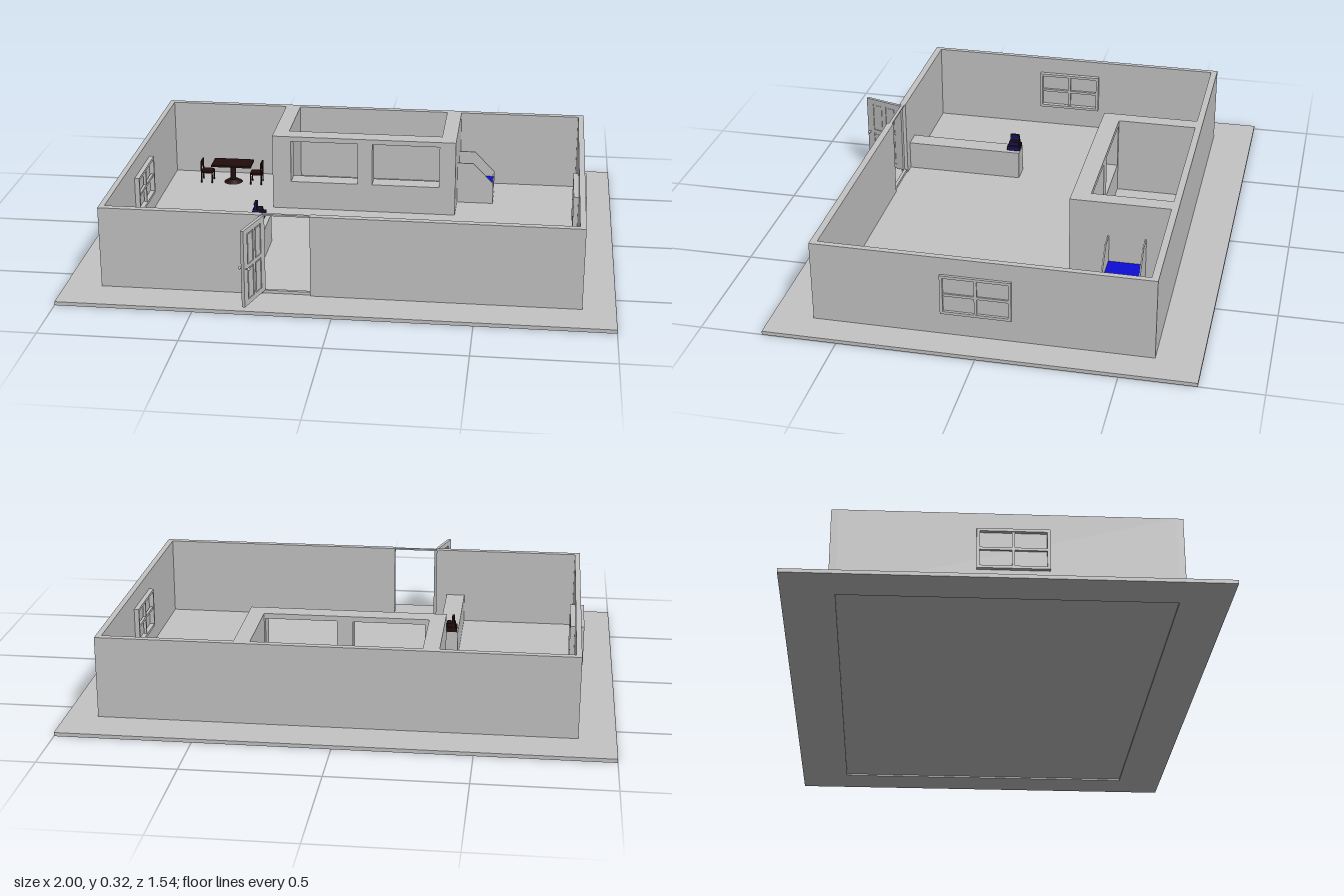
import * as THREE from 'three';

const material = (name, color, extra = {}) =>
  Object.assign(new THREE.MeshStandardMaterial({ color, ...extra }), { name });

const rectPath = (P, x0, y0, x1, y1) => {
  const p = new P();
  p.moveTo(x0, y0); p.lineTo(x1, y0); p.lineTo(x1, y1); p.lineTo(x0, y1); p.closePath();
  return p;
};

// Rectangular plate in the xy plane, with rectangular holes, extruded along z
function plate([x0, y0, x1, y1], holes, depth) {
  const s = rectPath(THREE.Shape, x0, y0, x1, y1);
  holes.forEach(h => s.holes.push(rectPath(THREE.Path, ...h)));
  return new THREE.ExtrudeGeometry(s, { depth, bevelEnabled: false });
}

export function createModel() {
  const model = new THREE.Group();
  const grey = material('plaster grey', 0xc4c4c4);
  const brown = material('dark brown', 0x230c0c);
  const blue = material('bright blue', 0x0d0dd6);
  const navy = material('navy', 0x14145a);

  const add = (name, geo, mat, parent = model) => {
    const m = new THREE.Mesh(geo, mat);
    m.name = name;
    parent.add(m);
    return m;
  };
  // Box given by its minimum and maximum corners
  const box = (name, mat, x0, x1, y0, y1, z0, z1, parent = model) => {
    const m = add(name, new THREE.BoxGeometry(x1 - x0, y1 - y0, z1 - z0), mat, parent);
    m.position.set((x0 + x1) / 2, (y0 + y1) / 2, (z0 + z1) / 2);
    return m;
  };
  const group = (name, parent = model) => {
    const g = new THREE.Group();
    g.name = name;
    parent.add(g);
    return g;
  };

  const F = 0.014, H = 0.322;              // floor level, wall top
  const L = -0.845, R = 0.858, B = -0.585, T = 0.595; // inner room bounds

  // Ground slab with a slightly recessed underside below the room
  const slab = add('groundSlab', plate([-1, -0.7725, 1, 0.7725], [[L, -T, R, -B]], F), grey);
  slab.rotation.x = -Math.PI / 2;
  box('roomFloor', grey, L, R, 0.006, F, B, T);

  // Outer walls
  const walls = group('outerWalls');
  box('backWall', grey, -0.865, 0.88, F, H, -0.61, B, walls);
  box('rightWall', grey, -0.865, L, F, H, B, T, walls);
  box('leftWall', grey, R, 0.88, F, H, B, T, walls);
  box('frontWallRight', grey, -0.865, -0.27, F, H, T, 0.62, walls);
  box('frontWallLeft', grey, -0.095, 0.88, F, H, T, 0.62, walls);

  // Thin door frame
  box('doorLintel', grey, -0.27, -0.095, 0.316, H, 0.6, 0.612);
  box('doorSill', grey, -0.27, -0.095, F, 0.025, 0.6, 0.612);

  // Open door with four recessed panels and a knob on each side
  const door = group('door');
  door.position.set(-0.265, 0.027, 0.61);
  door.rotation.y = Math.atan2(-0.957, -0.29);
  const cells = [];
  for (const x of [0.03, 0.09]) {
    cells.push([x, 0.02, x + 0.045, 0.14], [x, 0.155, x + 0.045, 0.272]);
  }
  add('doorLeaf', plate([0, 0, 0.165, 0.292], cells, 0.012), grey, door).position.z = -0.006;
  for (const [x0, y0, x1, y1] of cells) {
    box('doorPanel', grey, x0, x1, y0, y1, -0.003, 0.003, door);
    box('doorPanelCentre', grey, x0 + 0.006, x1 - 0.006, y0 + 0.006, y1 - 0.006, -0.005, 0.005, door);
  }
  for (const s of [-1, 1]) {
    const stem = add('knobStem', new THREE.CylinderGeometry(0.002, 0.002, 0.012, 10), grey, door);
    stem.rotation.x = Math.PI / 2;
    stem.position.set(0.152, 0.145, s * 0.011);
    add('doorKnob', new THREE.SphereGeometry(0.006, 12, 8), grey, door).position.set(0.152, 0.145, s * 0.018);
  }

  // Window frames with crossbars, on both faces of the side walls
  const panes = [];
  for (const z of [-0.117, 0.005]) {
    panes.push([z, -0.067, z + 0.112, -0.005], [z, 0.005, z + 0.112, 0.067]);
  }
  for (const x of [-0.88, -0.845, 0.84, 0.88]) {
    const depth = x === -0.845 || x === 0.84 ? 0.018 : x < 0 ? 0.015 : 0.01;
    const w = group('window');
    w.position.set(x, 0.178, 0.0225);
    w.rotation.y = Math.PI / 2;
    add('windowFrame', plate([-0.1275, -0.0775, 0.1275, 0.0775], [[-0.117, -0.067, 0.117, 0.067]], depth), grey, w);
    add('windowBars', plate([-0.117, -0.067, 0.117, 0.067], panes, depth * 0.6), grey, w).position.z = depth * 0.2;
  }

  // Inner room with two serving openings
  const inner = group('innerRoom');
  box('innerRightWall', grey, -0.365, -0.305, F, H, B, -0.28, inner);
  box('innerLeftWall', grey, 0.315, 0.375, F, H, B, -0.28, inner);
  const front = plate([-0.365, F, 0.375, H],
    [[-0.29, 0.13, -0.02, 0.302], [0.04, 0.13, 0.31, 0.302]], 0.07);
  add('servingWall', front, grey, inner).position.z = -0.28;

  // Long counter by the entrance
  box('counter', grey, -0.39, -0.315, F, 0.127, 0.133, T);

  // Till on the counter
  const till = group('till');
  const tillSides = [navy, brown, brown, brown, navy, brown];
  box('tillBase', tillSides, -0.385, -0.334, 0.127, 0.145, 0.135, 0.186, till);
  box('tillBody', tillSides, -0.38, -0.345, 0.145, 0.16, 0.14, 0.18, till);
  box('tillScreen', tillSides, -0.375, -0.365, 0.16, 0.185, 0.142, 0.178, till);

  // Dining table on a pedestal
  const table = group('diningTable');
  box('tableTop', brown, -0.665, -0.497, 0.092, 0.1, -0.525, -0.435, table);
  add('tablePedestal', new THREE.CylinderGeometry(0.012, 0.012, 0.07, 12), brown, table).position.set(-0.58, 0.057, -0.48);
  add('tableFoot', new THREE.CylinderGeometry(0.02, 0.04, 0.012, 16), brown, table).position.set(-0.58, 0.02, -0.48);

  // A chair at each end of the table
  for (const s of [-1, 1]) {
    const c = group('chair');
    c.position.set(-0.584 + s * 0.105, F, -0.477);
    if (s > 0) c.rotation.y = Math.PI;
    box('seat', brown, -0.025, 0.025, 0.042, 0.049, -0.025, 0.025, c);
    box('backRest', brown, -0.025, -0.02, 0.068, 0.094, -0.025, 0.025, c);
    for (const z of [-0.025, 0.02]) {
      box('backLeg', brown, -0.025, -0.02, 0, 0.094, z, z + 0.005, c);
      box('frontLeg', brown, 0.02, 0.025, 0, 0.042, z, z + 0.005, c);
    }
  }

  // Display case with sloping cheeks and a blue tray
  const display = group('displayCase');
  const cheek = new THREE.Shape([[0.375, F], [0.522, F], [0.522, 0.1], [0.44, 0.185], [0.375, 0.185]]
    .map(p => new THREE.Vector2(...p)));
  for (const z of [-0.498, -0.359]) {
    add('cheek', new THREE.ExtrudeGeometry(cheek, { depth: 0.005, bevelEnabled: false }), grey, display).position.z = z;
  }
  box('caseBody', grey, 0.376, 0.517, F, 0.074, -0.493, -0.359, display);
  box('frontLip', grey, 0.517, 0.522, F, 0.09, -0.493, -0.359, display);
  box('blueTray', blue, 0.38, 0.517, 0.074, 0.08, -0.493, -0.359, display);

  return model;
}
